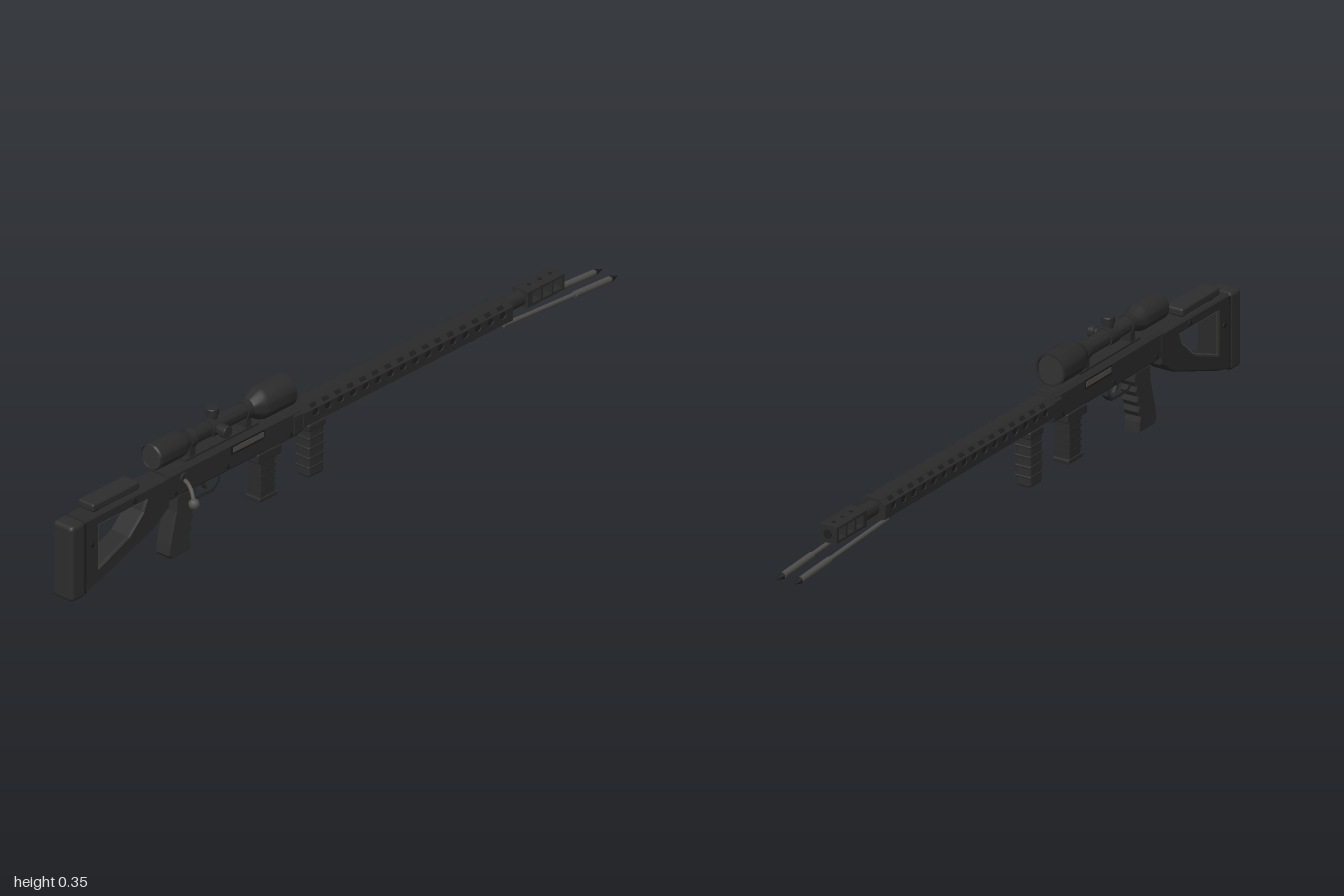
import * as THREE from 'three';
import { toCreasedNormals } from 'three/addons/utils/BufferGeometryUtils.js';
import { RoundedBoxGeometry } from 'three/addons/geometries/RoundedBoxGeometry.js';

const material = (name, color) => {
  const m = new THREE.MeshStandardMaterial({ color });
  m.name = name;
  return m;
};

export function createModel() {
  const body = material('dark polymer', 0x2a2a2a);
  const rubber = material('rubber', 0x2d2d2d);
  const black = material('black recess', 0x1e1e1e);
  const steel = material('steel', 0x4e4d4a);
  const glass = material('lens glass', 0x323232);

  const model = new THREE.Group();
  const rifle = new THREE.Group();
  rifle.name = 'rifle';
  rifle.position.x = -0.025;
  model.add(rifle);

  const add = (name, geo, mat, x = 0, y = 0, z = 0) => {
    const mesh = new THREE.Mesh(geo, mat);
    mesh.name = name;
    mesh.position.set(x, y, z);
    rifle.add(mesh);
    return mesh;
  };
  const box = (name, mat, w, h, d, x, y, z, r = 0) =>
    add(name, r ? new RoundedBoxGeometry(w, h, d, 2, r) : new THREE.BoxGeometry(w, h, d), mat, x, y, z);

  // Side profile in [z, y] points, extruded across x with a small bevel
  const toPath = (Type, pts) => new Type(pts.map(p => new THREE.Vector2(...p)));
  const slab = (name, mat, pts, width, holes = [], bevel = 0.004, x = 0) => {
    const shape = toPath(THREE.Shape, pts);
    shape.holes = holes.map(h => Array.isArray(h) ? toPath(THREE.Path, h) : h);
    const geo = new THREE.ExtrudeGeometry(shape, {
      depth: width - 2 * bevel, bevelEnabled: bevel > 0, bevelSize: bevel,
      bevelThickness: bevel, bevelOffset: -bevel, bevelSegments: 1, curveSegments: 6,
    });
    geo.rotateY(-Math.PI / 2).translate(width / 2 - bevel, 0, 0);
    return add(name, geo, mat, x);
  };
  // Cross-section in [x, y] points, extruded from z0 to z1
  const prism = (name, mat, pts, z0, z1) => add(name, new THREE.ExtrudeGeometry(
    toPath(THREE.Shape, pts), { depth: z1 - z0, bevelEnabled: false }), mat, 0, 0, z0);
  // Chamfered rectangle, half width w, from y0 to y1, corner cut c
  const octagon = (w, y0, y1, c) => [[-w + c, y0], [w - c, y0], [w, y0 + c], [w, y1 - c],
    [w - c, y1], [-w + c, y1], [-w, y1 - c], [-w, y0 + c]];
  // Turned part along z from [radius, z] points, listed from low z to high z
  const turned = (name, mat, pts, y, sides = 28) => {
    const lathe = new THREE.LatheGeometry(pts.map(p => new THREE.Vector2(...p)), sides);
    return add(name, toCreasedNormals(lathe.rotateX(Math.PI / 2), 0.5), mat, 0, y, 0);
  };

  // Stock with a lined opening
  const opening = [[0.9, 0.207], [0.9, 0.087], [0.79, 0.13], [0.738, 0.178], [0.725, 0.207]];
  const lining = [[0.897, 0.204], [0.897, 0.0915], [0.7915, 0.133], [0.7405, 0.18], [0.7295, 0.204]];
  slab('stock', body, [[0.95, 0.235], [0.64, 0.238], [0.64, 0.155], [0.7, 0.115], [0.9, 0.046], [0.95, 0.035]],
    0.064, [opening]);
  slab('stockLining', steel, opening, 0.054, [lining], 0);
  box('buttPad', rubber, 0.068, 0.21, 0.052, 0, 0.131, 0.974, 0.012);
  box('buttPlate', black, 0.064, 0.196, 0.008, 0, 0.131, 0.947);
  box('cheekRest', rubber, 0.053, 0.022, 0.17, 0, 0.254, 0.83, 0.006);
  for (const z of [0.77, 0.89]) box('cheekRestPost', black, 0.03, 0.02, 0.02, 0, 0.237, z);
  for (const s of [-1, 1]) for (const z of [0.77, 0.925]) {
    add('stockScrew', new THREE.CylinderGeometry(0.007, 0.007, 0.005, 10).rotateZ(Math.PI / 2),
      black, s * 0.032, z > 0.9 ? 0.16 : 0.222, z);
  }

  // Receiver
  prism('receiver', body, octagon(0.031, 0.166, 0.246, 0.01), 0.165, 0.65);
  prism('receiverCollar', body, octagon(0.036, 0.17, 0.243, 0.014), 0.155, 0.19);
  for (const s of [-1, 1]) {
    box('ejectionPort', black, 0.004, 0.025, 0.122, s * 0.031, 0.224, 0.358);
    box('boltBody', steel, 0.007, 0.014, 0.112, s * 0.031, 0.225, 0.357);
    for (const z of [0.2, 0.43, 0.62]) {
      add('receiverPin', new THREE.CylinderGeometry(0.006, 0.006, 0.004, 10).rotateZ(Math.PI / 2),
        black, s * 0.031, 0.185, z);
    }
  }

  // Bolt handle
  const handle = new THREE.CatmullRomCurve3([[0.025, 0.213, 0.59], [0.045, 0.208, 0.592],
    [0.064, 0.195, 0.598], [0.079, 0.172, 0.605]].map(p => new THREE.Vector3(...p)));
  add('boltHandle', new THREE.TubeGeometry(handle, 14, 0.0055, 10), steel);
  add('boltKnob', new THREE.SphereGeometry(0.0145, 10, 8), steel, 0.08, 0.167, 0.606);
  add('boltShroud', new THREE.CylinderGeometry(0.014, 0.014, 0.014, 12).rotateZ(Math.PI / 2), body, 0.029, 0.217, 0.59);

  // Pistol grip with finger ridges along its front edge
  const ridges = [];
  for (let i = 0; i <= 8; i++) ridges.push([0.532 + i * 0.003 + (i % 2 ? 0.007 : 0), 0.145 - i * 0.0145]);
  slab('pistolGrip', rubber, [[0.607, 0.17], [0.535, 0.17], ...ridges, [0.553, 0.001], [0.625, 0],
    [0.637, 0.012], [0.632, 0.045], [0.61, 0.125]], 0.047, [], 0.004);

  // Trigger and guard
  slab('triggerGuard', body, [[0.54, 0.17], [0.54, 0.13], [0.525, 0.12], [0.455, 0.12], [0.434, 0.14], [0.434, 0.17]],
    0.02, [[[0.532, 0.166], [0.532, 0.135], [0.522, 0.128], [0.458, 0.128], [0.442, 0.143], [0.442, 0.166]]], 0.001);
  slab('trigger', body, [[0.5, 0.168], [0.486, 0.168], [0.483, 0.15], [0.474, 0.134], [0.479, 0.132], [0.491, 0.147]],
    0.01, [], 0.001);

  // Magazine
  box('magazineWell', body, 0.056, 0.026, 0.088, 0, 0.156, 0.272, 0.004);
  box('magazine', body, 0.042, 0.12, 0.054, 0, 0.097, 0.272, 0.004);
  box('magazineBase', body, 0.048, 0.012, 0.068, 0, 0.036, 0.272, 0.003);
  for (let i = 0; i < 5; i++) box('magazineRib', body, 0.044, 0.006, 0.056, 0, 0.06 + i * 0.019, 0.272);

  // Fore grip
  box('foreGripMount', body, 0.05, 0.02, 0.062, 0, 0.167, 0.096, 0.004);
  box('foreGrip', rubber, 0.044, 0.145, 0.056, 0, 0.099, 0.096, 0.008);
  for (let i = 0; i < 4; i++) box('foreGripRib', rubber, 0.047, 0.007, 0.059, 0, 0.055 + i * 0.027, 0.096, 0.003);

  // Handguard: chamfered core with vented side panels
  prism('handguard', body, octagon(0.034, 0.177, 0.24, 0.015), -0.605, 0.16);
  const vents = Array.from({ length: 16 }, (_, i) => 0.115 - i * 0.0455);
  for (const s of [-1, 1]) {
    const holes = vents.map(z => new THREE.Path().absellipse(z, 0.216, 0.011, 0.009, 0, Math.PI * 2, true));
    slab('ventedPanel', body, [[0.16, 0.228], [-0.605, 0.228], [-0.605, 0.189], [0.16, 0.189]],
      0.005, holes, 0.001, s * 0.0345);
    for (const z of vents) {
      add('ventRecess', new THREE.CylinderGeometry(0.011, 0.011, 0.002, 12).rotateZ(Math.PI / 2),
        black, s * 0.0338, 0.216, z);
      const slot = box('chamferSlot', black, 0.011, 0.002, 0.02, s * 0.0267, 0.2327, z);
      slot.rotation.z = -s * Math.PI / 4;
    }
  }

  // Barrel and muzzle brake with slots cut right through
  turned('barrel', body, [[0, -0.682], [0.02, -0.682], [0.02, -0.6], [0, -0.6]], 0.214, 18);
  const slots = [-0.688, -0.727, -0.766].map(z => [[z, 0.229], [z - 0.028, 0.229], [z - 0.028, 0.202], [z, 0.202]]);
  slab('muzzleBrake', body, [[-0.668, 0.238], [-0.806, 0.238], [-0.806, 0.192], [-0.668, 0.192]], 0.052, slots, 0.002);
  for (const z of [-0.702, -0.741, -0.78]) {
    add('brakePort', new THREE.CylinderGeometry(0.006, 0.006, 0.002, 10), black, 0, 0.238, z);
  }
  add('muzzleBore', new THREE.CylinderGeometry(0.012, 0.012, 0.003, 16).rotateX(Math.PI / 2), black, 0, 0.215, -0.806);

  // Folded bipod: each leg is a rod, a sleeve and a spike
  for (const s of [-1, 1]) {
    const leg = new THREE.Group();
    leg.name = 'bipodLeg';
    leg.position.set(s * 0.026, 0.181, -0.58);
    leg.rotation.x = -Math.PI / 2 - 0.062;
    const piece = (name, mat, r0, r1, from, to) => {
      const m = new THREE.Mesh(new THREE.CylinderGeometry(r1, r0, to - from, 10), mat);
      m.name = name;
      m.position.y = (from + to) / 2;
      leg.add(m);
    };
    piece('legRod', steel, 0.006, 0.006, 0, 0.395);
    piece('legSleeve', steel, 0.0085, 0.0085, 0.26, 0.388);
    piece('legSpike', black, 0.009, 0, 0.392, 0.42);
    rifle.add(leg);
  }

  // Scope
  const sy = 0.296;
  turned('scopeBody', body, [[0.036, 0.198], [0.038, 0.19], [0.044, 0.19], [0.044, 0.285], [0.04, 0.298], [0.021, 0.33],
    [0.021, 0.55], [0.033, 0.575], [0.035, 0.585], [0.035, 0.672], [0.032, 0.677], [0.03, 0.67]], sy, 32);
  add('objectiveLens', new THREE.CylinderGeometry(0.038, 0.038, 0.004, 28).rotateX(Math.PI / 2), glass, 0, sy, 0.198);
  add('eyepieceLens', new THREE.CylinderGeometry(0.031, 0.031, 0.004, 28).rotateX(Math.PI / 2), glass, 0, sy, 0.671);
  for (const z of [0.54, 0.335]) {
    add('scopeRing', new THREE.CylinderGeometry(0.025, 0.025, 0.02, 24).rotateX(Math.PI / 2), body, 0, sy, z);
    box('scopeFoot', body, 0.03, 0.04, 0.02, 0, 0.26, z);
  }
  box('scopeRail', body, 0.034, 0.008, 0.27, 0, 0.248, 0.435);

  // Adjustment turrets on the top and left of the scope
  const knob = () => toCreasedNormals(new THREE.LatheGeometry([[0, 0], [0.013, 0], [0.013, 0.032], [0.0165, 0.034],
    [0.0165, 0.049], [0.015, 0.051], [0, 0.051]].map(p => new THREE.Vector2(...p)), 18), 0.5);
  add('turretBlock', new THREE.CylinderGeometry(0.025, 0.025, 0.04, 24).rotateX(Math.PI / 2), body, 0, sy, 0.452);
  add('topTurret', knob(), body, 0, sy, 0.452);
  add('sideTurret', knob().rotateZ(-Math.PI / 2), body, 0.002, sy, 0.452);

  return model;
}
